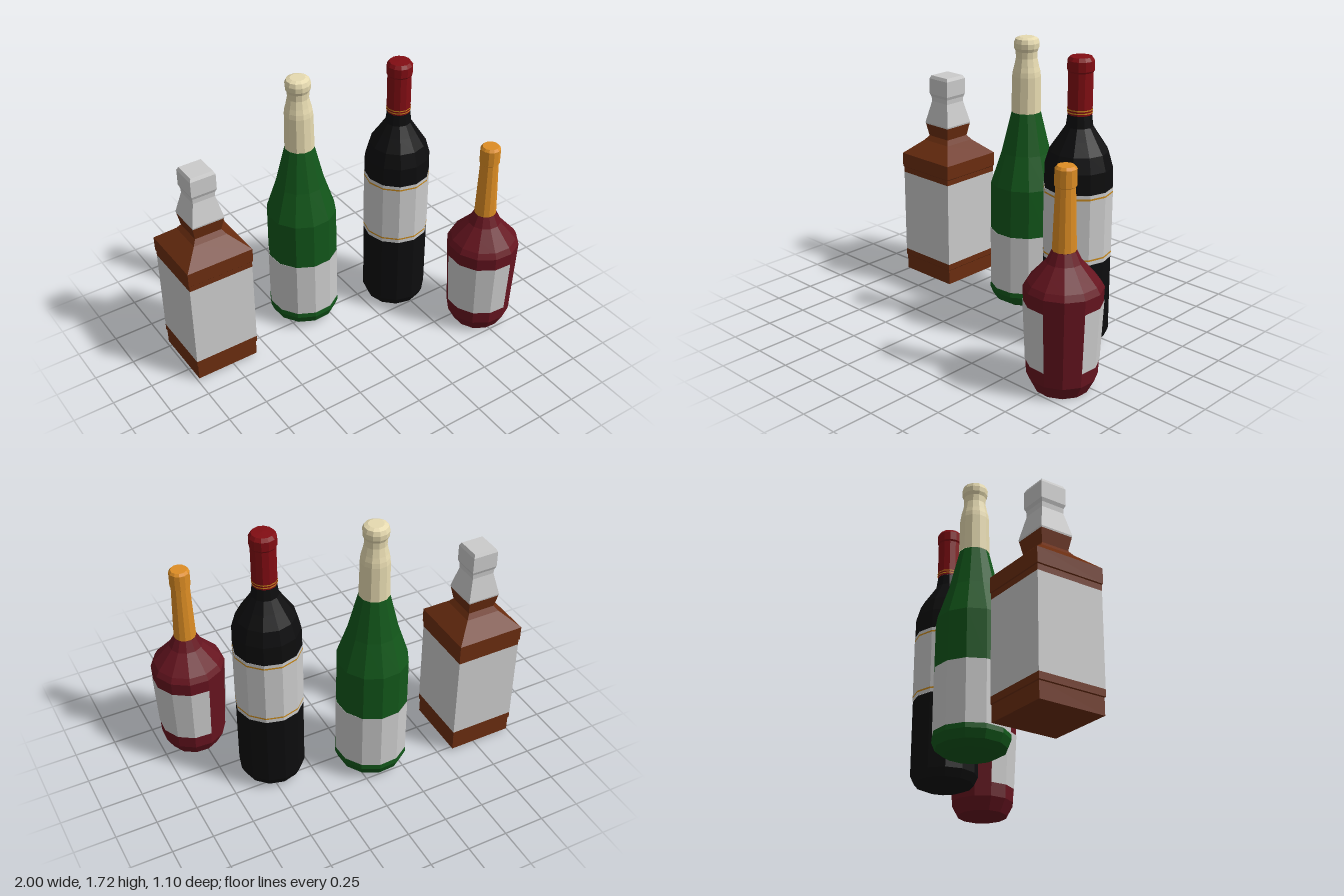
import * as THREE from 'three';

const GREY = 0xcccccc, GOLD = 0xc98a1c, BROWN = 0x6b2d10;
const GREEN = 0x12561a, BLACK = 0x0d0d0e, MAROON = 0x66141f;

// Faceted turned part from [radius, y] points, bottom to top.
function turned(name, color, profile, sides, startDeg, arcDeg = 360) {
  const points = profile.map(([r, y]) => new THREE.Vector2(r, y));
  const geometry = new THREE.LatheGeometry(points, sides,
    THREE.MathUtils.degToRad(startDeg), THREE.MathUtils.degToRad(arcDeg));
  const mesh = new THREE.Mesh(geometry, new THREE.MeshStandardMaterial({
    color, flatShading: true, side: THREE.DoubleSide,
  }));
  mesh.name = name;
  return mesh;
}

// A bottle is a stack of parts sharing one centre, side count and turn.
function bottle(name, x, z, sides, startDeg, parts) {
  const group = new THREE.Group();
  group.name = name;
  group.position.set(x, 0, z);
  for (const [partName, color, profile] of parts) {
    group.add(turned(partName, color, profile, sides, startDeg));
  }
  return group;
}

// Square profile: half-widths become corner radii of a four-sided lathe.
const square = (profile) => profile.map(([w, y]) => [w * Math.SQRT2, y]);

export function createModel() {
  const model = new THREE.Group();
  model.name = 'bottles';

  // Square decanter-style bottle
  model.add(bottle('squareBottle', -0.79, -0.33, 4, 45, [
    ['squareBase', BROWN, square([[0, 0.015], [0.2, 0.015], [0.2, 0.11], [0.205, 0.115], [0.205, 0.155]])],
    ['squareLabel', GREY, square([[0.205, 0.155], [0.205, 0.7]])],
    ['squareShoulder', BROWN, square([[0.205, 0.7], [0.205, 0.735], [0.21, 0.74], [0.21, 0.83],
      [0.107, 0.92], [0.085, 0.95], [0.1, 1.03]])],
    ['squareStopper', GREY, square([[0.1, 1.03], [0.102, 1.04], [0.07, 1.18], [0.072, 1.21],
      [0.08, 1.23], [0.08, 1.33], [0.07, 1.35], [0, 1.35]])],
  ]));

  // Tall sloping bottle with foil neck
  model.add(bottle('greenBottle', -0.11, -0.337, 12, 18, [
    ['greenBase', GREEN, [[0, 0.03], [0.15, 0.02], [0.2, 0.05], [0.22, 0.1], [0.217, 0.13]]],
    ['greenLabel', GREY, [[0.217, 0.13], [0.217, 0.5]]],
    ['greenBody', GREEN, [[0.215, 0.5], [0.213, 0.8], [0.148, 1.0], [0.088, 1.25]]],
    ['foilNeck', 0xe6dab0, [[0.09, 1.25], [0.086, 1.47], [0.082, 1.5], [0.074, 1.53], [0.064, 1.58],
      [0.066, 1.62], [0.075, 1.64], [0.077, 1.67], [0.068, 1.695], [0.045, 1.705], [0, 1.705]]],
  ]));

  // Straight black bottle with banded label and capsule
  model.add(bottle('blackBottle', 0.465, -0.15, 12, 0, [
    ['blackBase', BLACK, [[0, 0.03], [0.13, 0.015], [0.175, 0.035], [0.198, 0.085], [0.198, 0.55]]],
    ['blackLabelLower', GREY, [[0.2, 0.55], [0.2, 0.573]]],
    ['lowerLabelBand', GOLD, [[0.2, 0.573], [0.2, 0.583]]],
    ['blackLabel', GREY, [[0.2, 0.583], [0.2, 0.94]]],
    ['upperLabelBand', GOLD, [[0.2, 0.94], [0.2, 0.95]]],
    ['blackLabelUpper', GREY, [[0.2, 0.95], [0.2, 0.97]]],
    ['blackShoulder', BLACK, [[0.198, 0.97], [0.196, 1.09], [0.17, 1.18], [0.12, 1.255], [0.078, 1.32], [0.069, 1.39]]],
    ['capsule', 0x820d13, [[0.071, 1.39], [0.071, 1.63], [0.077, 1.64], [0.077, 1.695], [0.062, 1.715], [0, 1.72]]],
    ['lowerCapsuleRing', GOLD, [[0.073, 1.4], [0.073, 1.407]]],
    ['upperCapsuleRing', GOLD, [[0.073, 1.416], [0.073, 1.423]]],
  ]));

  // Short tapered bottle with two wrapped labels
  const maroon = bottle('maroonBottle', 0.78, 0.33, 12, 12, [
    ['maroonBody', MAROON, [[0, 0.01], [0.155, 0], [0.197, 0.08], [0.22, 0.6], [0.2, 0.635],
      [0.15, 0.69], [0.1, 0.745], [0.068, 0.81]]],
    ['orangeNeck', 0xdd8d24, [[0.066, 0.81], [0.054, 1.165], [0.06, 1.17], [0.06, 1.265], [0.048, 1.28], [0, 1.28]]],
  ]);
  for (const start of [72, 252]) {
    maroon.add(turned('maroonLabel', GREY, [[0.204, 0.165], [0.22, 0.52]], 4, start, 120));
  }
  model.add(maroon);

  return model;
}
